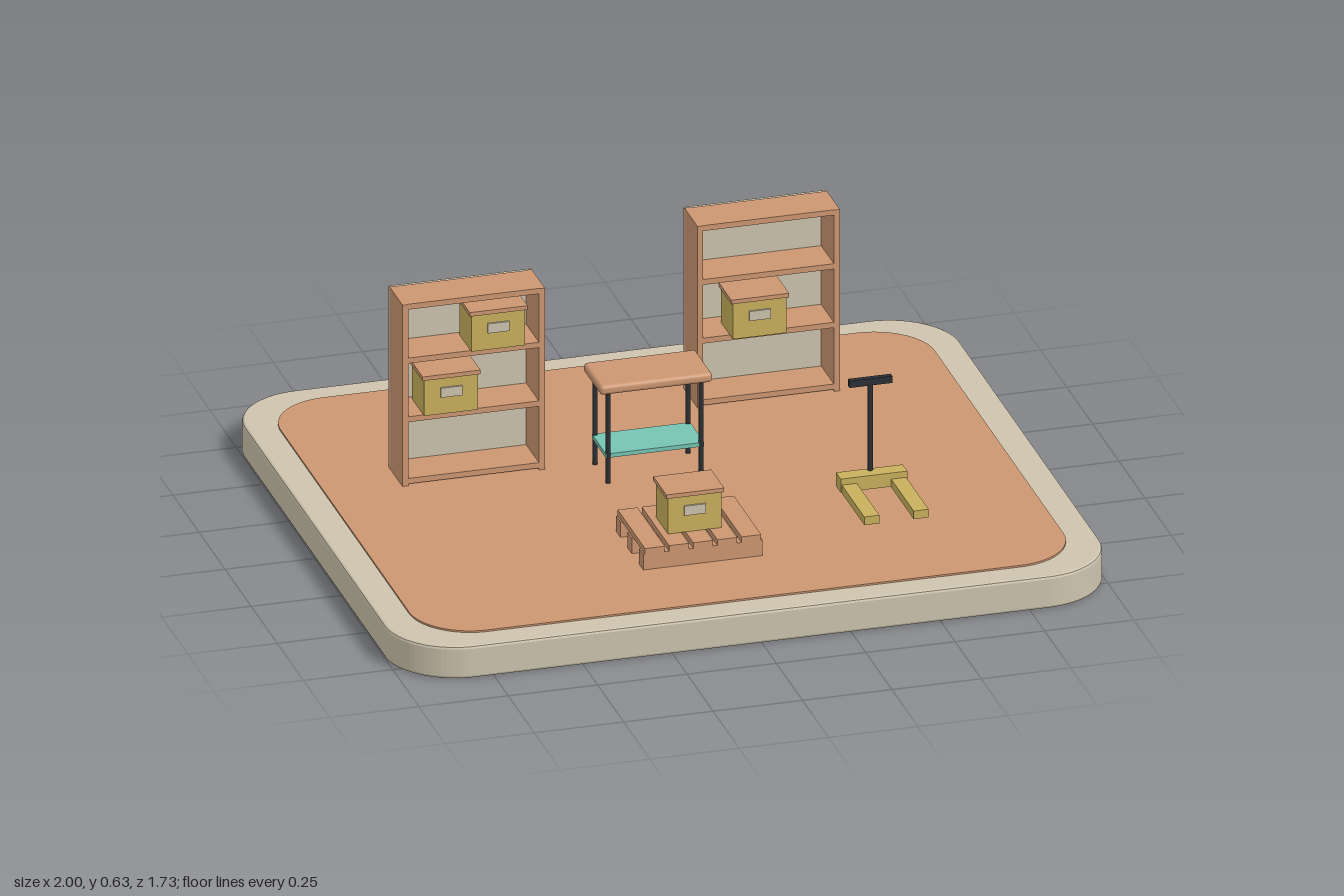
import * as THREE from 'three';
import { RoundedBoxGeometry } from 'three/addons/geometries/RoundedBoxGeometry.js';

const mat = (name, color) => {
  const m = new THREE.MeshStandardMaterial({ color });
  m.name = name;
  return m;
};

export function createModel() {
  const stone = mat('warm stone', 0xcdc3ad);
  const wood = mat('wood', 0xcb9670);
  const ochre = mat('ochre', 0xc8b05c);
  const teal = mat('teal', 0x76c4b2);
  const dark = mat('dark metal', 0x2c2f35);

  const model = new THREE.Group();
  const FLOOR = 0.1;

  const group = (name, x, y, z) => {
    const g = new THREE.Group();
    g.name = name;
    g.position.set(x, y, z);
    model.add(g);
    return g;
  };
  const add = (parent, name, geometry, material, x, y, z) => {
    const m = new THREE.Mesh(geometry, material);
    m.name = name;
    m.position.set(x, y, z);
    parent.add(m);
    return m;
  };
  // Box placed by the centre of its underside
  const box = (parent, name, material, w, h, d, x, y, z) =>
    add(parent, name, new THREE.BoxGeometry(w, h, d), material, x, y + h / 2, z);

  // Rounded slab lying flat
  const slab = (name, material, hx, hz, r, y0, y1, bevel) => {
    const a = hx - bevel, b = hz - bevel, s = new THREE.Shape();
    s.moveTo(-a + r, -b);
    s.lineTo(a - r, -b).absarc(a - r, -b + r, r, -Math.PI / 2, 0);
    s.lineTo(a, b - r).absarc(a - r, b - r, r, 0, Math.PI / 2);
    s.lineTo(-a + r, b).absarc(-a + r, b - r, r, Math.PI / 2, Math.PI);
    s.lineTo(-a, -b + r).absarc(-a + r, -b + r, r, Math.PI, Math.PI * 1.5);
    const g = new THREE.ExtrudeGeometry(s, {
      depth: y1 - y0 - 2 * bevel, bevelEnabled: bevel > 0, bevelSize: bevel,
      bevelThickness: bevel, bevelSegments: 2, curveSegments: 10,
    });
    g.rotateX(-Math.PI / 2);
    add(model, name, g, material, 0, y0 + bevel, 0);
  };
  slab('base', stone, 1, 0.865, 0.19, 0, 0.095, 0.008);
  slab('floor', wood, 0.915, 0.785, 0.17, 0.09, FLOOR, 0);

  // Storage crate with lid and label
  const crate = (x, y, z) => {
    const g = group('crate', x, y, z);
    box(g, 'crateBody', ochre, 0.15, 0.106, 0.115, 0, 0, 0);
    box(g, 'crateLid', wood, 0.162, 0.012, 0.125, 0, 0.106, 0);
    box(g, 'crateLabel', stone, 0.06, 0.028, 0.006, 0, 0.05, 0.0595);
  };

  // Bookcase with three bays
  const bookcase = (x, z) => {
    const g = group('bookcase', x, FLOOR, z);
    for (const s of [-1, 1]) box(g, 'sidePanel', wood, 0.016, 0.535, 0.126, s * 0.191, 0, 0.005);
    for (const y of [0.005, 0.187, 0.36, 0.519])
      box(g, 'shelfBoard', wood, 0.368, 0.016, 0.122, 0, y, 0.005);
    box(g, 'backPanel', stone, 0.398, 0.533, 0.01, 0, 0, -0.063);
  };
  bookcase(-0.505, -0.238);
  bookcase(0.398, -0.505);
  crate(-0.57, 0.303, -0.222);
  crate(-0.438, 0.476, -0.222);
  crate(0.365, 0.303, -0.467);

  // Work table
  const table = group('table', -0.037, FLOOR, -0.103);
  add(table, 'tableTop', new RoundedBoxGeometry(0.315, 0.028, 0.168, 3, 0.011), wood, 0, 0.281, 0);
  box(table, 'lowerShelf', teal, 0.275, 0.012, 0.135, 0, 0.075, 0);
  const legGeo = new THREE.CylinderGeometry(0.007, 0.007, 0.27, 12);
  for (const sx of [-1, 1])
    for (const sz of [-1, 1]) add(table, 'tableLeg', legGeo, dark, sx * 0.13, 0.135, sz * 0.063);

  // Pallet: slats on three stringers
  const pallet = group('pallet', -0.068, FLOOR, 0.4);
  for (let i = -2; i <= 2; i++) box(pallet, 'slat', wood, 0.055, 0.017, 0.262, i * 0.0675, 0.046, 0);
  for (let i = -1; i <= 1; i++) box(pallet, 'stringer', wood, 0.334, 0.046, 0.04, 0, 0, i * 0.11);
  crate(-0.07, FLOOR + 0.063, 0.4);

  // Pallet truck
  const truck = group('palletTruck', 0.498, FLOOR, 0);
  box(truck, 'truckBody', ochre, 0.186, 0.04, 0.045, 0, 0.015, 0.207);
  const wheelGeo = new THREE.CylinderGeometry(0.012, 0.012, 0.024, 14).rotateZ(Math.PI / 2);
  for (const s of [-1, 1]) {
    box(truck, 'fork', ochre, 0.042, 0.024, 0.22, s * 0.069, 0.013, 0.335);
    add(truck, 'wheel', wheelGeo, dark, s * 0.069, 0.012, 0.41);
  }
  add(truck, 'handleStem', new THREE.CylinderGeometry(0.008, 0.008, 0.27, 12), dark, 0, 0.185, 0.193);
  box(truck, 'handleGrip', dark, 0.12, 0.02, 0.016, 0, 0.307, 0.193);

  return model;
}
